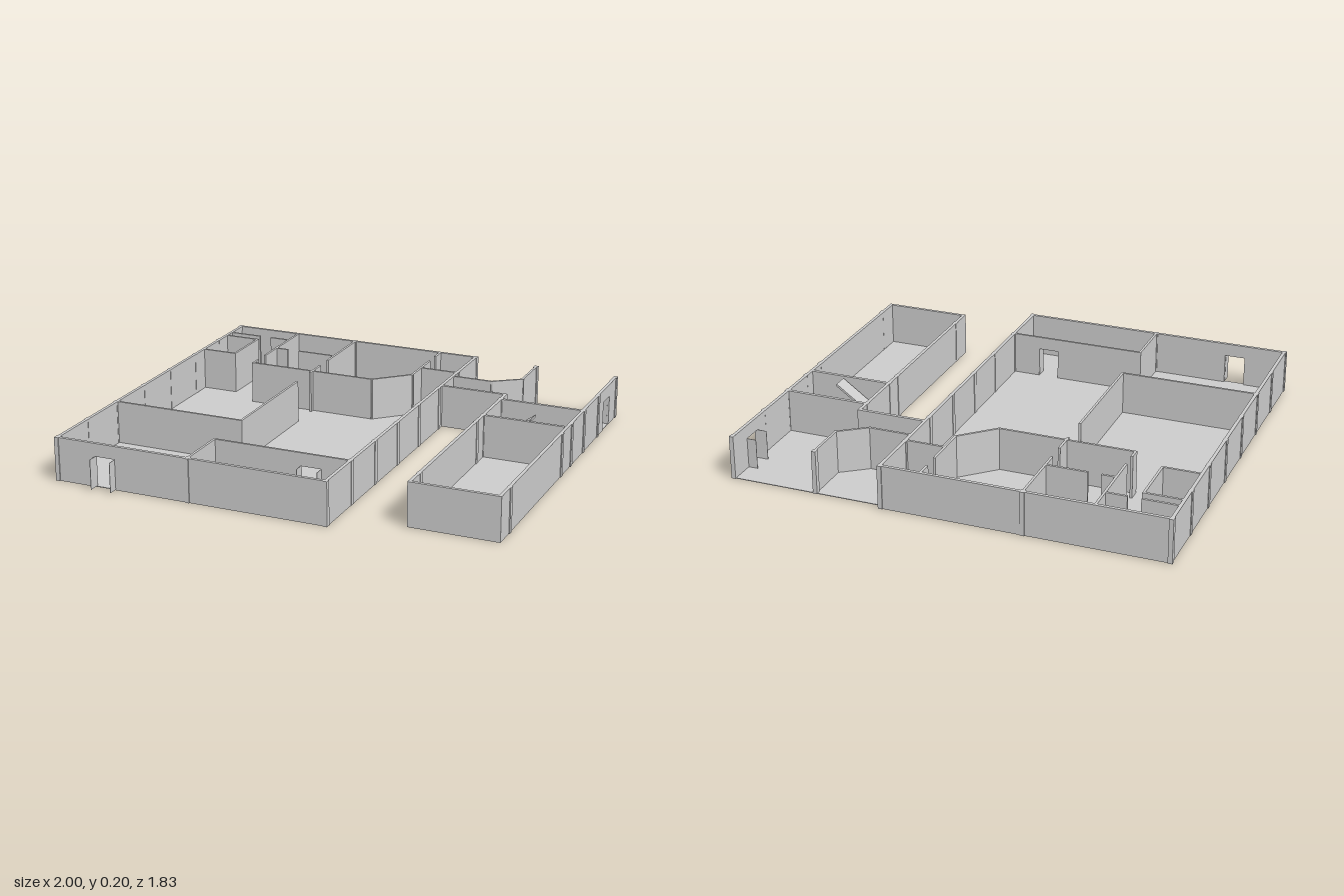
import * as THREE from 'three';

const H = 0.2;        // wall height
const DOOR_H = 0.14;  // door opening height
const OUTER = 0.015, INNER = 0.011;

export function createModel() {
  const group = new THREE.Group();
  const mat = new THREE.MeshStandardMaterial({ color: 0xcccccc, side: THREE.DoubleSide, flatShading: true });

  function add(name, geometry) {
    const mesh = new THREE.Mesh(geometry, mat);
    mesh.name = name;
    group.add(mesh);
    return mesh;
  }

  // Upright slab between two plan points
  function wall(name, x1, z1, x2, z2, t = INNER, y0 = 0, y1 = H) {
    const len = Math.hypot(x2 - x1, z2 - z1);
    const mesh = add(name, new THREE.BoxGeometry(len + t, y1 - y0, t));
    mesh.position.set((x1 + x2) / 2, (y0 + y1) / 2, (z1 + z2) / 2);
    mesh.rotation.y = -Math.atan2(z2 - z1, x2 - x1);
  }

  // Wall with a door hole from a to b, measured along the wall from its start
  function doorWall(name, x1, z1, x2, z2, a, b, t) {
    const len = Math.hypot(x2 - x1, z2 - z1);
    const s = new THREE.Shape();
    [[0, 0], [a, 0], [a, DOOR_H], [b, DOOR_H], [b, 0], [len, 0], [len, H], [0, H]]
      .forEach(([x, y], i) => (i ? s.lineTo(x, y) : s.moveTo(x, y)));
    const geo = new THREE.ExtrudeGeometry(s, { depth: t, bevelEnabled: false });
    geo.translate(0, 0, -t / 2);
    const mesh = add(name, geo);
    mesh.position.set(x1, 0, z1);
    mesh.rotation.y = -Math.atan2(z2 - z1, x2 - x1);
  }

  // Floor plate in plan, with a narrow slot between two halls
  const floor = new THREE.Shape([
    [-0.99, -0.91], [0.285, -0.91], [0.285, -0.89], [0.99, -0.89], [0.99, 0.735],
    [0.59, 0.735], [0.59, -0.44], [0.285, -0.44], [0.285, 0.865], [-0.99, 0.865],
  ].map(([x, z]) => new THREE.Vector2(x, -z)));
  floor.holes.push(new THREE.Path([
    [-0.36, 0.36], [-0.353, 0.36], [-0.353, 0.605], [-0.36, 0.605],
  ].map(([x, z]) => new THREE.Vector2(x, -z))));
  const floorGeo = new THREE.ExtrudeGeometry(floor, { depth: 0.003, bevelEnabled: false });
  floorGeo.rotateX(-Math.PI / 2);
  add('floor', floorGeo);

  // Outer walls
  [
    [-0.988, -0.905, -0.988, 0.86], [-0.988, -0.905, 0.28, -0.905],
    [0.28, -0.905, 0.28, 0.86],
    [0.28, -0.443, 0.595, -0.443], [0.595, -0.443, 0.595, 0.73],
    [0.595, 0.73, 0.985, 0.73],
    [0.595, -0.375, 0.985, -0.375], [0.595, -0.14, 0.985, -0.14],
  ].forEach((w) => wall('outerWall', ...w, OUTER));
  doorWall('frontWall', -0.988, 0.86, 0.28, 0.86, 0.188, 0.283, OUTER);
  doorWall('sideWall', 0.985, -0.89, 0.985, 0.735, 0.115, 0.21, OUTER);

  // Partition walls
  [
    // spine between the two halls
    [-0.357, -0.905, -0.357, -0.575], [-0.357, -0.478, -0.357, -0.375],
    [-0.357, -0.22, -0.357, 0.355], [-0.357, 0.61, -0.357, 0.86],
    [-0.988, 0.355, -0.357, 0.355],
    // rear small rooms
    [-0.988, -0.79, -0.83, -0.79], [-0.76, -0.79, -0.668, -0.79],
    [-0.668, -0.905, -0.668, -0.525], [-0.668, -0.44, -0.668, -0.395],
    [-0.668, -0.647, -0.61, -0.647], [-0.54, -0.647, -0.357, -0.647],
    [-0.668, -0.395, -0.05, -0.395], [-0.05, -0.395, 0.097, -0.535],
    [0.097, -0.535, 0.097, -0.755], [0.097, -0.84, 0.097, -0.905],
    [0.097, -0.647, 0.28, -0.647],
    // enclosed shaft
    [-0.988, -0.737, -0.816, -0.737], [-0.816, -0.737, -0.816, -0.49], [-0.816, -0.49, -0.988, -0.49],
    // link room
    [0.28, -0.592, 0.475, -0.592], [0.475, -0.592, 0.595, -0.68], [0.595, -0.68, 0.595, -0.885],
  ].forEach((w) => wall('partition', ...w));
  doorWall('hallPartition', -0.357, 0.61, 0.28, 0.61, 0.41, 0.505, INNER);

  // Open double-door leaves
  [
    [-0.8, 0.865, -0.8, 0.911], [-0.705, 0.865, -0.705, 0.911],
    [0.053, 0.612, 0.053, 0.66], [0.148, 0.612, 0.148, 0.66],
    [0.935, -0.775, 0.983, -0.775], [0.935, -0.68, 0.983, -0.68],
  ].forEach((d) => wall('doorLeaf', ...d, 0.002, 0.003, DOOR_H));

  // Columns along the outer walls
  const columns = [];
  [-0.905, -0.653, -0.4, -0.149, 0.103, 0.355, 0.608, 0.86].forEach((z) => {
    columns.push([-0.989, z], [0.28, z]);
  });
  columns.push([-0.357, -0.905], [-0.357, 0.86]);
  [-0.882, -0.595, -0.375, -0.19, -0.05, 0.625].forEach((z) => columns.push([0.987, z]));
  [-0.882, -0.375, -0.14, -0.05, 0.625].forEach((z) => columns.push([0.595, z]));
  columns.forEach(([x, z]) => {
    add('column', new THREE.BoxGeometry(0.02, H, 0.024)).position.set(x, H / 2, z);
  });

  // Two sloped flights joined by a half landing
  function flight(name, points, z, depth) {
    const geo = new THREE.ExtrudeGeometry(
      new THREE.Shape(points.map(([x, y]) => new THREE.Vector2(x, y))), { depth, bevelEnabled: false });
    add(name, geo).position.z = z;
  }
  flight('lowerFlight', [[0.805, 0.003], [0.67, 0.1], [0.67, 0.088], [0.788, 0.003]], -0.36, 0.07);
  flight('upperFlight', [[0.67, 0.1], [0.67, 0.088], [0.81, 0.188], [0.81, 0.2]], -0.237, 0.07);
  flight('landing', [[0.605, 0.088], [0.67, 0.088], [0.67, 0.1], [0.605, 0.1]], -0.36, 0.193);

  return group;
}
